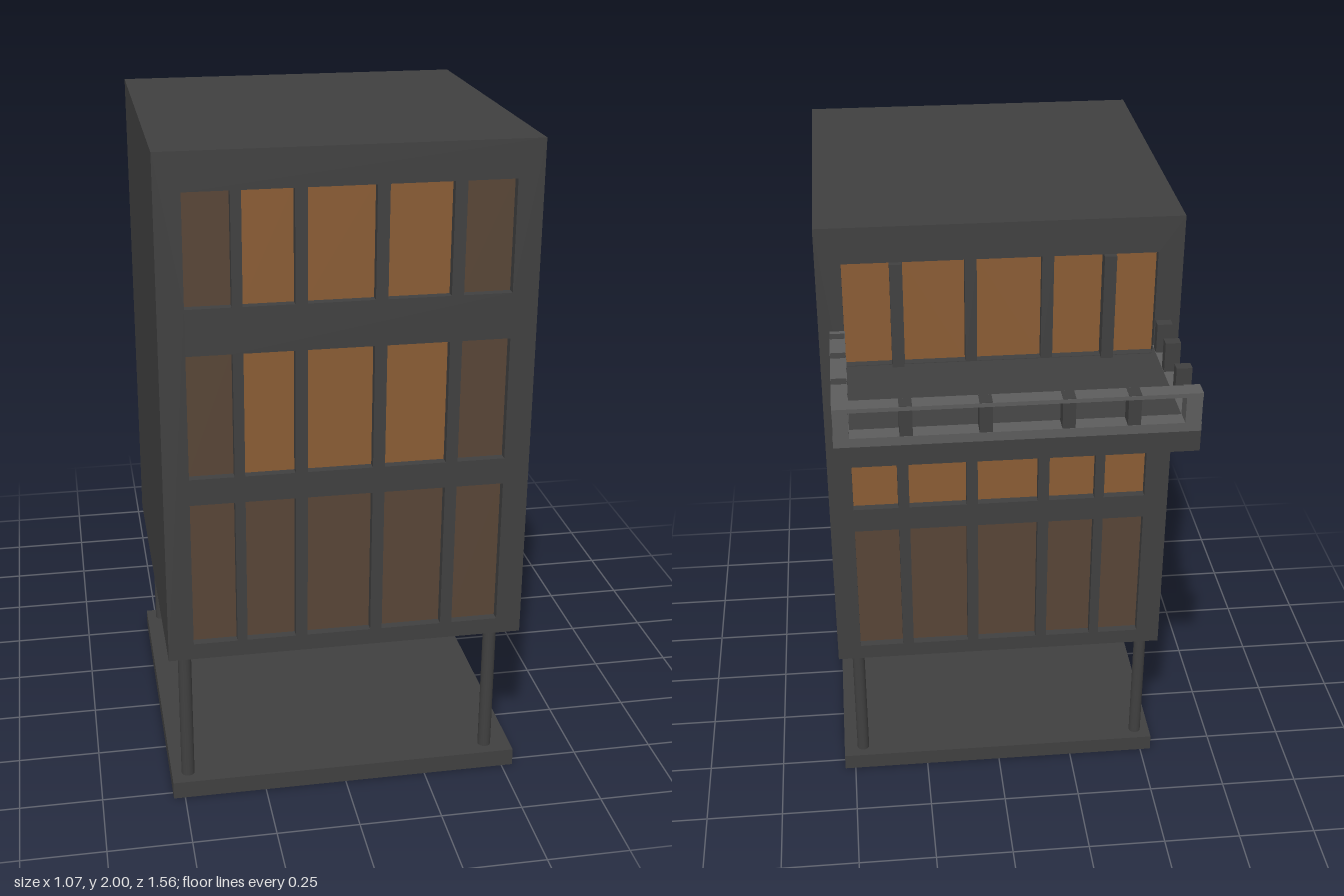
import * as THREE from 'three';

const mat = (color) => new THREE.MeshStandardMaterial({ color });

export function createModel() {
  const root = new THREE.Group();
  const dark = mat(0x404040), light = mat(0x5c5c5c);
  const amber = mat(0x8a5c34), brown = mat(0x584536);

  // Box given by its min and max on each axis
  function box(name, x0, x1, y0, y1, z0, z1, material = dark, parent = root) {
    const m = new THREE.Mesh(new THREE.BoxGeometry(x1 - x0, y1 - y0, z1 - z0), material);
    m.position.set((x0 + x1) / 2, (y0 + y1) / 2, (z0 + z1) / 2);
    m.name = name;
    parent.add(m);
    return m;
  }
  const poly = (pts) => new THREE.Shape(pts.map(([x, y]) => new THREE.Vector2(x, y)));
  const rect = (x0, x1, y0, y1) => poly([[x0, y0], [x1, y0], [x1, y1], [x0, y1]]);

  function plate(name, shape, depth, z, material, parent) {
    const geo = new THREE.ExtrudeGeometry(shape, { depth, bevelEnabled: false });
    const m = new THREE.Mesh(geo, material);
    m.position.z = z;
    m.name = name;
    parent.add(m);
  }

  const T = 0.04, X = 0.535, ZF = 0.775, ZB = -0.3, Y0 = 0.48, Y1 = 2;
  const rows = [[0.53, 0.98], [1.06, 1.43], [1.565, 1.89]];
  const cols = [[-0.46, -0.33], [-0.3, -0.155], [-0.12, 0.07], [0.105, 0.285], [0.32, 0.46]];
  const sideCols = [[-0.25, -0.015], [0.045, 0.33], [0.375, 0.705]];

  // Wall with a grid of openings, each closed by the pane that paneFor returns
  function windowWall(name, u0, u1, columns, glassZ, paneFor) {
    const group = new THREE.Group();
    group.name = name;
    const wall = rect(u0, u1, Y0, Y1);
    rows.forEach(([b, t], r) => columns.forEach(([l, rt], c) => {
      wall.holes.push(rect(l, rt, b, t));
      const pane = paneFor(r, c, rect(l, rt, b, t));
      if (pane) plate('windowPane', pane.shape, 0.006, glassZ, pane.material, group);
    }));
    plate('wall', wall, T, 0, dark, group);
    root.add(group);
    return group;
  }

  // Front and back walls
  windowWall('frontWall', -X, X, cols, 0.008, (r, c, shape) => ({
    shape, material: r > 0 && c > 0 && c < 4 ? amber : brown,
  })).position.z = ZF - T;
  windowWall('backWall', -X, X, cols, T - 0.014, (r, c, shape) => ({
    shape, material: r > 0 ? amber : brown,
  })).position.z = ZB;

  // Left wall with one missing pane and two broken ones
  const leftWall = windowWall('leftWall', ZB + T, ZF - T, sideCols, T - 0.014, (r, c, shape) => {
    if (r === 2 && c === 2) return null;
    if (r === 0 && c === 2) shape = poly([[0.705, 0.98], [0.43, 0.98], [0.705, 0.68]]);
    if (r === 1 && c === 1) {
      shape = poly([[0.045, 1.06], [0.165, 1.06], [0.053, 1.305], [0.165, 1.43], [0.045, 1.43]]);
      leftPart = rect(0.165, 0.33, 1.06, 1.43);
    }
    return { shape, material: brown };
  });
  leftWall.rotation.y = -Math.PI / 2;
  leftWall.position.x = X;
  plate('brokenPane', leftPart, 0.006, T - 0.014, brown, leftWall);

  // Solid right wall, floors and roof
  box('rightWall', -X, -X + T, Y0, Y1, ZB + T, ZF - T);
  [[Y0, 0.53], [1.0, 1.04], [1.48, 1.53], [1.95, Y1]].forEach(([a, b], i) =>
    box(i === 3 ? 'roof' : 'floor', -X + T, X - T, a, b, ZB + T, ZF - T));

  // Ground slab and columns
  box('groundSlab', -X, X, 0, 0.055, -0.295, 0.78);
  [[-0.485, 0.728], [0.455, 0.728], [-0.485, -0.247], [0.47, -0.247]].forEach(([x, z]) => {
    const column = new THREE.Mesh(new THREE.CylinderGeometry(0.02, 0.02, 0.43, 16), dark);
    column.position.set(x, 0.27, z);
    column.name = 'column';
    root.add(column);
  });

  // Balcony slab, curbs, handrails and posts
  const balcony = new THREE.Group();
  balcony.name = 'balcony';
  root.add(balcony);
  const part = (name, m, ...b) => box(name, ...b, m, balcony);
  part('balconySlab', dark, -0.505, 0.503, 1.5, 1.563, -0.78, ZB);
  const runs = [[-0.505, 0.503, -0.78, -0.73], [-0.505, -0.458, -0.73, ZB], [0.458, 0.503, -0.73, ZB]];
  runs.forEach(([x0, x1, z0, z1], i) => {
    part('curb', light, x0, x1, 1.563, 1.59, z0, z1);
    if (i !== 1) part('handrail', light, x0, x1, 1.668, 1.68, z0, z1);
  });
  for (const x of [-0.318, -0.138, 0.088, 0.305])
    part('railPost', dark, x - 0.018, x + 0.018, 1.59, 1.681, -0.779, -0.732);
  for (const [x0, x1] of [[-0.504, -0.459], [0.459, 0.502]]) {
    for (const z of [-0.617, -0.459, -0.335])
      part('railPost', dark, x0, x1, 1.59, 1.681, z - 0.016, z + 0.016);
    part('cornerPost', light, x0, x1, 1.59, 1.68, -0.78, -0.727);
  }

  // Projecting door posts on the balcony
  for (const x of [-0.318, 0.305])
    part('doorPost', dark, x - 0.018, x + 0.018, 1.563, 1.89, -0.318, ZB);

  return root;
}

let leftPart;
